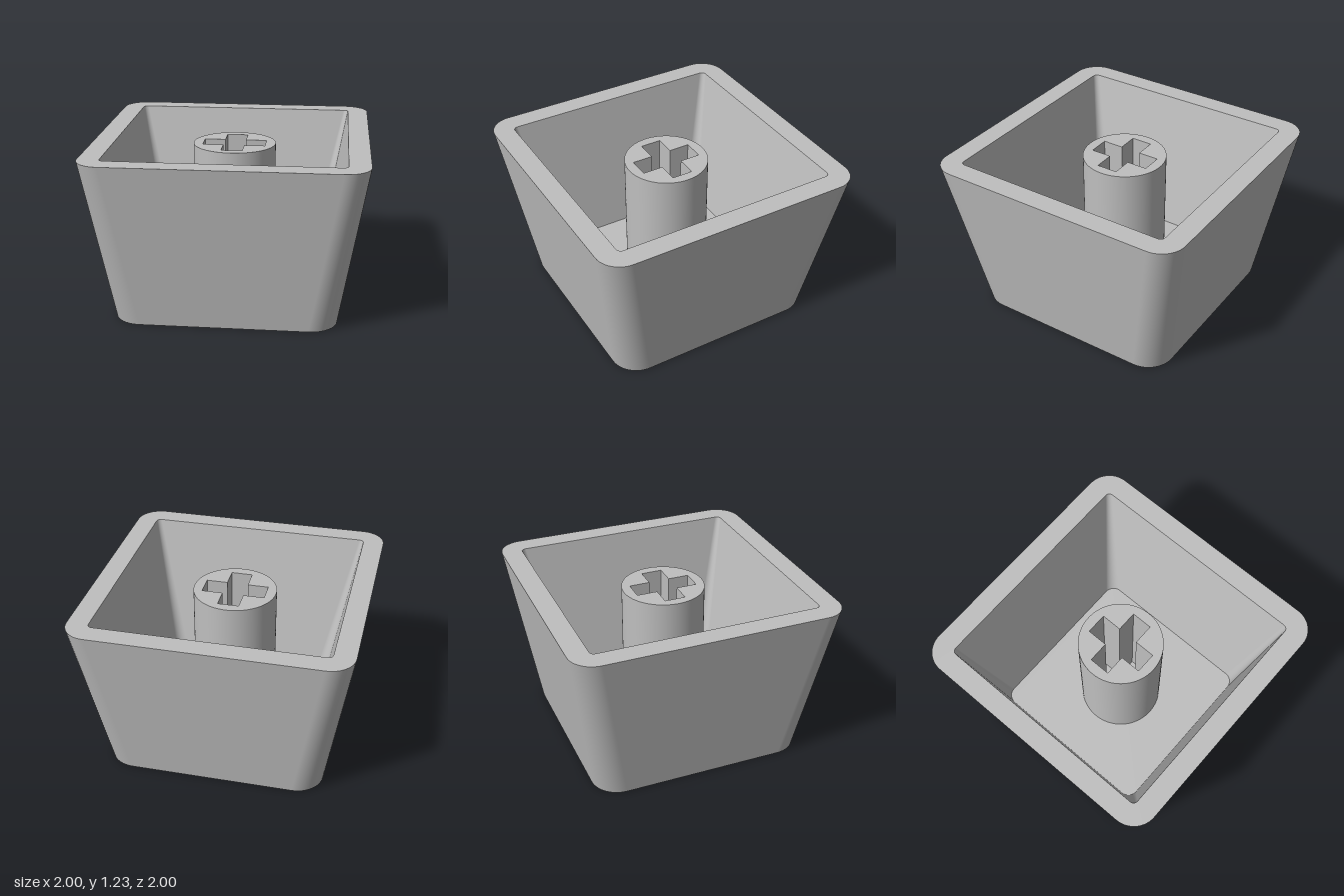
import * as THREE from 'three';
import { toCreasedNormals } from 'three/addons/utils/BufferGeometryUtils.js';

const HEIGHT = 1.225, FLOOR = 0.17, STEM_TOP = 1.155;
const CORNER_STEPS = 12;

// Outline of a rounded square, counter-clockwise.
function roundedSquare(half, radius) {
  const points = [];
  for (let corner = 0; corner < 4; corner++) {
    const start = corner * Math.PI / 2, middle = start + Math.PI / 4;
    const cx = Math.sign(Math.cos(middle)) * (half - radius);
    const cy = Math.sign(Math.sin(middle)) * (half - radius);
    for (let i = 0; i <= CORNER_STEPS; i++) {
      const a = start + (i / CORNER_STEPS) * Math.PI / 2;
      points.push(new THREE.Vector2(cx + radius * Math.cos(a), cy + radius * Math.sin(a)));
    }
  }
  return points;
}

// Smooth wall between two outlines; listing the upper one first faces it inward.
function wall(outlineA, yA, outlineB, yB) {
  const n = outlineA.length, positions = [], index = [];
  for (const p of outlineA) positions.push(p.x, yA, -p.y);
  for (const p of outlineB) positions.push(p.x, yB, -p.y);
  for (let i = 0; i < n; i++) {
    const j = (i + 1) % n;
    index.push(i, j, n + j, i, n + j, n + i);
  }
  const geometry = new THREE.BufferGeometry();
  geometry.setAttribute('position', new THREE.Float32BufferAttribute(positions, 3));
  geometry.setIndex(index);
  geometry.computeVertexNormals();
  return geometry;
}

// Flat horizontal face, optionally with a hole.
function plate(outline, y, hole, down = false) {
  const shape = new THREE.Shape(outline);
  if (hole) shape.holes.push(new THREE.Path(hole));
  return new THREE.ShapeGeometry(shape).rotateX(down ? Math.PI / 2 : -Math.PI / 2).translate(0, y, 0);
}

// Round post with a cross-shaped socket.
function stemGeometry() {
  const shape = new THREE.Shape().absarc(0, 0, 0.308, 0, Math.PI * 2, false);
  const long = 0.233, thin = 0.078, cross = [];
  for (let q = 0; q < 4; q++) {
    for (const [x, y] of [[long, -thin], [long, thin], [thin, thin]]) {
      cross.push(new THREE.Vector2(x, y).rotateAround(new THREE.Vector2(), q * Math.PI / 2));
    }
  }
  shape.holes.push(new THREE.Path(cross));
  const geometry = new THREE.ExtrudeGeometry(shape, {
    depth: STEM_TOP - FLOOR, bevelEnabled: false, curveSegments: 64,
  });
  geometry.rotateX(-Math.PI / 2).translate(0, FLOOR, 0);
  return toCreasedNormals(geometry, 0.6);
}

export function createModel() {
  const model = new THREE.Group();
  model.name = 'keycap';
  const grey = new THREE.MeshStandardMaterial({ color: 0xbfbfbf });
  grey.name = 'grey plastic';

  const add = (name, geometry) => {
    const mesh = new THREE.Mesh(geometry, grey);
    mesh.name = name;
    model.add(mesh);
  };

  const outerBottom = roundedSquare(0.805, 0.2);
  const outerTop = roundedSquare(1, 0.18);
  const innerTop = roundedSquare(0.845, 0.035);
  const innerBottom = roundedSquare(0.65, 0.08);

  // Tapered shell, open at the top
  add('outerWall', wall(outerBottom, 0, outerTop, HEIGHT));
  add('innerWall', wall(innerTop, HEIGHT, innerBottom, FLOOR));
  add('rim', plate(outerTop, HEIGHT, innerTop));
  add('innerFloor', plate(innerBottom, FLOOR));
  add('underside', plate(outerBottom, 0, null, true));

  // Socket in the middle
  add('stem', stemGeometry());
  return model;
}
